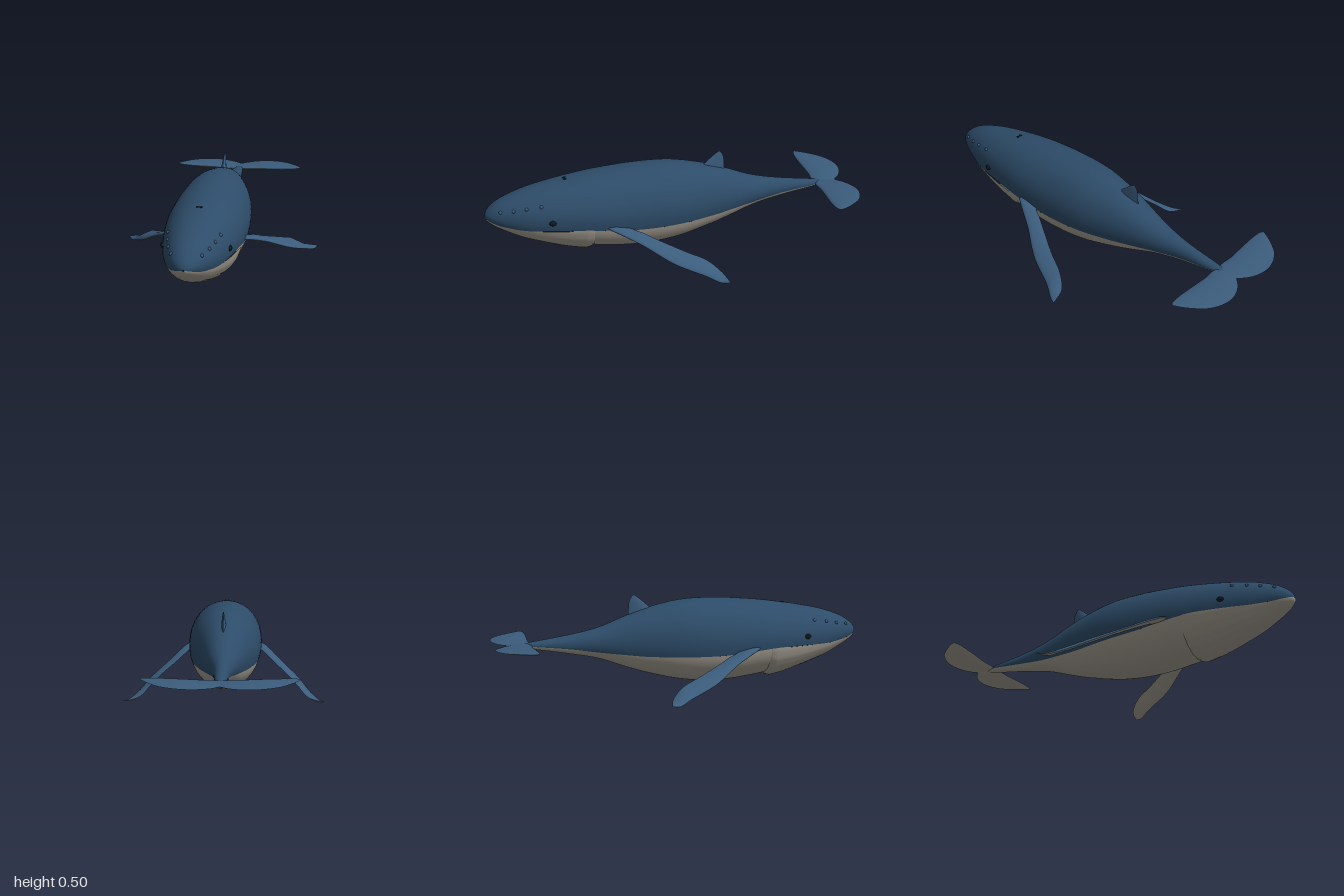
import * as THREE from 'three';

const paint = (color) => new THREE.MeshStandardMaterial({ color });
const BACK = paint(0x2d4c69), FIN = paint(0x3b5c7c), BELLY = paint(0xaaa498), DARK = paint(0x10161d);

// Body stations from tail to snout: z, top, bottom, half width, height of the colour seam / mouth line
const BODY = [
  [-0.87, 0.265, 0.255, 0.006, 0.260], [-0.8, 0.277, 0.240, 0.025, 0.255], [-0.6, 0.308, 0.206, 0.044, 0.235],
  [-0.45, 0.340, 0.175, 0.075, 0.215], [-0.3, 0.397, 0.122, 0.112, 0.200], [-0.2, 0.432, 0.090, 0.138, 0.192],
  [0, 0.473, 0.043, 0.183, 0.188], [0.2, 0.477, 0.030, 0.200, 0.192], [0.4, 0.462, 0.050, 0.200, 0.212],
  [0.5, 0.450, 0.070, 0.190, 0.220], [0.6, 0.435, 0.085, 0.176, 0.221], [0.7, 0.417, 0.106, 0.157, 0.222],
  [0.8, 0.394, 0.138, 0.131, 0.224], [0.9, 0.359, 0.188, 0.093, 0.237], [0.95, 0.330, 0.218, 0.066, 0.250],
  [0.985, 0.297, 0.247, 0.032, 0.263], [0.996, 0.272, 0.266, 0.004, 0.269],
];

// Smooth (Hermite) lookup of the body stations at any z
function section(z) {
  let i = 0;
  while (i < BODY.length - 2 && z > BODY[i + 1][0]) i++;
  const a = BODY[i], b = BODY[i + 1], h = b[0] - a[0], t = (z - a[0]) / h;
  const p = BODY[i - 1] || a, n = BODY[i + 2] || b;
  return a.map((v, k) => {
    const m0 = (b[k] - p[k]) / (b[0] - p[0]) * h, m1 = (n[k] - v) / (n[0] - a[0]) * h;
    return v * (2 * t ** 3 - 3 * t * t + 1) + m0 * (t ** 3 - 2 * t * t + t)
      + b[k] * (3 * t * t - 2 * t ** 3) + m1 * (t ** 3 - t * t);
  });
}

// Skin over a grid of points
function skin(rows, flip = false) {
  const w = rows[0].length, index = [];
  for (let i = 0; i < rows.length - 1; i++) {
    for (let j = 0; j < w - 1; j++) {
      const a = i * w + j, b = a + 1, c = a + w, d = c + 1;
      index.push(...(flip ? [a, c, b, b, c, d] : [a, b, c, b, d, c]));
    }
  }
  const g = new THREE.BufferGeometry().setFromPoints(rows.flat());
  g.setIndex(index);
  g.computeVertexNormals();
  return g;
}

// Shell of the body above or below the seam; swell(z, angle) scales it about the seam
function bodyShell(z0, z1, upper, swell = () => 1, rowCount = 80, segs = 40) {
  const rows = [];
  for (let i = 0; i <= rowCount; i++) {
    const z = (z0 + z1) / 2 - (z1 - z0) / 2 * Math.cos(Math.PI * i / rowCount);
    const [, top, bottom, hw, seam] = section(z);
    const c = (top + bottom) / 2, ry = (top - bottom) / 2;
    const a = Math.asin(THREE.MathUtils.clamp((seam - c) / ry, -0.95, 0.95));
    const from = upper ? a : Math.PI - a, to = upper ? Math.PI - a : 2 * Math.PI + a;
    const row = [];
    for (let j = 0; j <= segs; j++) {
      const ang = from + (to - from) * j / segs, k = swell(z, ang);
      const y = c + ry * Math.sin(ang);
      row.push(new THREE.Vector3(hw * Math.cos(ang) * (1 + (k - 1) * 0.2), seam + (y - seam) * k, z));
    }
    rows.push(row);
  }
  return skin(rows);
}

// One face of a fin: lens section between a leading and a trailing edge
function finFace(lead, trail, normal, ratio, mirror) {
  const curve = (pts) => new THREE.CatmullRomCurve3(pts.map(([x, y, z]) => new THREE.Vector3(x * mirror, y, z)));
  const A = curve(lead), B = curve(trail), n = new THREE.Vector3(...normal).normalize();
  n.x *= mirror;
  const rows = [];
  for (let i = 0; i <= 36; i++) {
    const a = A.getPoint(i / 36), b = B.getPoint(i / 36), chord = a.distanceTo(b), row = [];
    for (let j = 0; j <= 14; j++) {
      const u = (1 - Math.cos(Math.PI * j / 14)) / 2;
      const bulge = Math.sqrt(u) * (1 - u) * 2.6 * chord * ratio;
      row.push(a.clone().lerp(b, u).addScaledVector(n, bulge));
    }
    rows.push(row);
  }
  const span = A.getPoint(0.5).sub(A.getPoint(0)), across = B.getPoint(0.3).sub(A.getPoint(0.3));
  return skin(rows, across.cross(span).dot(n) < 0);
}

export function createModel() {
  const model = new THREE.Group();
  const add = (name, geometry, material, parent = model) => {
    const m = new THREE.Mesh(geometry, material);
    m.name = name;
    parent.add(m);
    return m;
  };
  const addFin = (name, lead, trail, normal, ratio, mirror, underside) => {
    const fin = new THREE.Group();
    fin.name = name;
    add(name + 'Upper', finFace(lead, trail, normal, ratio, mirror), FIN, fin);
    add(name + 'Under', finFace(lead, trail, normal.map((v) => -v), ratio, mirror), underside, fin);
    model.add(fin);
  };

  // Body: dark back, pale belly, and a swollen pleated throat ending in a ridge
  add('back', bodyShell(-0.87, 0.996, true), BACK);
  add('belly', bodyShell(-0.87, 0.56, false), BELLY);
  const smooth = THREE.MathUtils.smoothstep;
  add('throat', bodyShell(0.445, 0.996, false, (z, ang) => {
    const close = Math.sqrt(THREE.MathUtils.clamp((z - 0.445) / 0.04, 0, 1));
    const full = 1 + 0.16 * (1 - smooth(z, 0.5, 0.78));
    const pleat = 0.006 * Math.cos(ang * 24) * (1 - smooth(z, 0.8, 0.97));
    return 0.93 + (full - 0.93) * close + pleat;
  }, 90, 96), BELLY);

  // Paired parts
  for (const s of [1, -1]) {
    const side = s > 0 ? 'left' : 'right';

    addFin(side + 'Flipper',
      [[0.15, 0.225, 0.4], [0.205, 0.22, 0.375], [0.25, 0.196, 0.31], [0.3, 0.16, 0.225],
        [0.4, 0.085, 0.08], [0.465, 0.03, -0.07], [0.51, 0.008, -0.14], [0.533, 0.015, -0.18]],
      [[0.15, 0.215, 0.28], [0.2, 0.207, 0.255], [0.23, 0.19, 0.2], [0.265, 0.165, 0.14],
        [0.345, 0.115, 0], [0.39, 0.08, -0.095], [0.445, 0.032, -0.16], [0.528, 0.014, -0.184]],
      [0.55, 0.83, 0], 0.1, s, BELLY);

    addFin(side + 'Fluke',
      [[0, 0.262, -0.81], [0.04, 0.262, -0.803], [0.1, 0.264, -0.808], [0.16, 0.266, -0.806], [0.22, 0.268, -0.803],
        [0.28, 0.27, -0.801], [0.33, 0.273, -0.803], [0.36, 0.275, -0.808], [0.376, 0.277, -0.818]],
      [[0, 0.262, -0.925], [0.04, 0.262, -0.962], [0.1, 0.264, -0.992], [0.16, 0.266, -1], [0.22, 0.268, -0.988],
        [0.28, 0.27, -0.955], [0.33, 0.273, -0.9], [0.36, 0.275, -0.855], [0.377, 0.277, -0.823]],
      [0, 1, 0], 0.07, s, BELLY);

    // Eye, blowhole and row of bumps along the upper jaw
    const eye = add(side + 'Eye', new THREE.SphereGeometry(0.017, 20, 14), DARK);
    eye.position.set(s * 0.163, 0.27, 0.66);
    eye.scale.set(0.7, 0.85, 1.1);

    const hole = add(side + 'Blowhole', new THREE.SphereGeometry(0.009, 14, 10), DARK);
    hole.position.set(s * 0.009, 0.439, 0.57);
    hole.scale.set(0.8, 0.5, 1.1);

    [[0.915, 0.317, 0.078], [0.85, 0.328, 0.104], [0.785, 0.34, 0.12], [0.71, 0.351, 0.133]].forEach(([z, y], i) => {
      // Seat each bump on the skin at its height
      const [, top, bottom, hw] = section(z), ry = (top - bottom) / 2;
      const x = hw * Math.sqrt(1 - ((y - (top + bottom) / 2) / ry) ** 2);
      add(side + 'JawBump' + (i + 1), new THREE.SphereGeometry(0.009, 14, 10), FIN).position.set(s * x, y, z);
    });
  }

  // Small swept dorsal fin
  addFin('dorsalFin',
    [[0, 0.38, -0.12], [0, 0.428, -0.165], [0, 0.46, -0.2], [0, 0.49, -0.235], [0, 0.506, -0.258]],
    [[0, 0.38, -0.295], [0, 0.41, -0.29], [0, 0.44, -0.288], [0, 0.475, -0.283], [0, 0.502, -0.268]],
    [1, 0, 0], 0.1, 1, FIN);

  return model;
}
